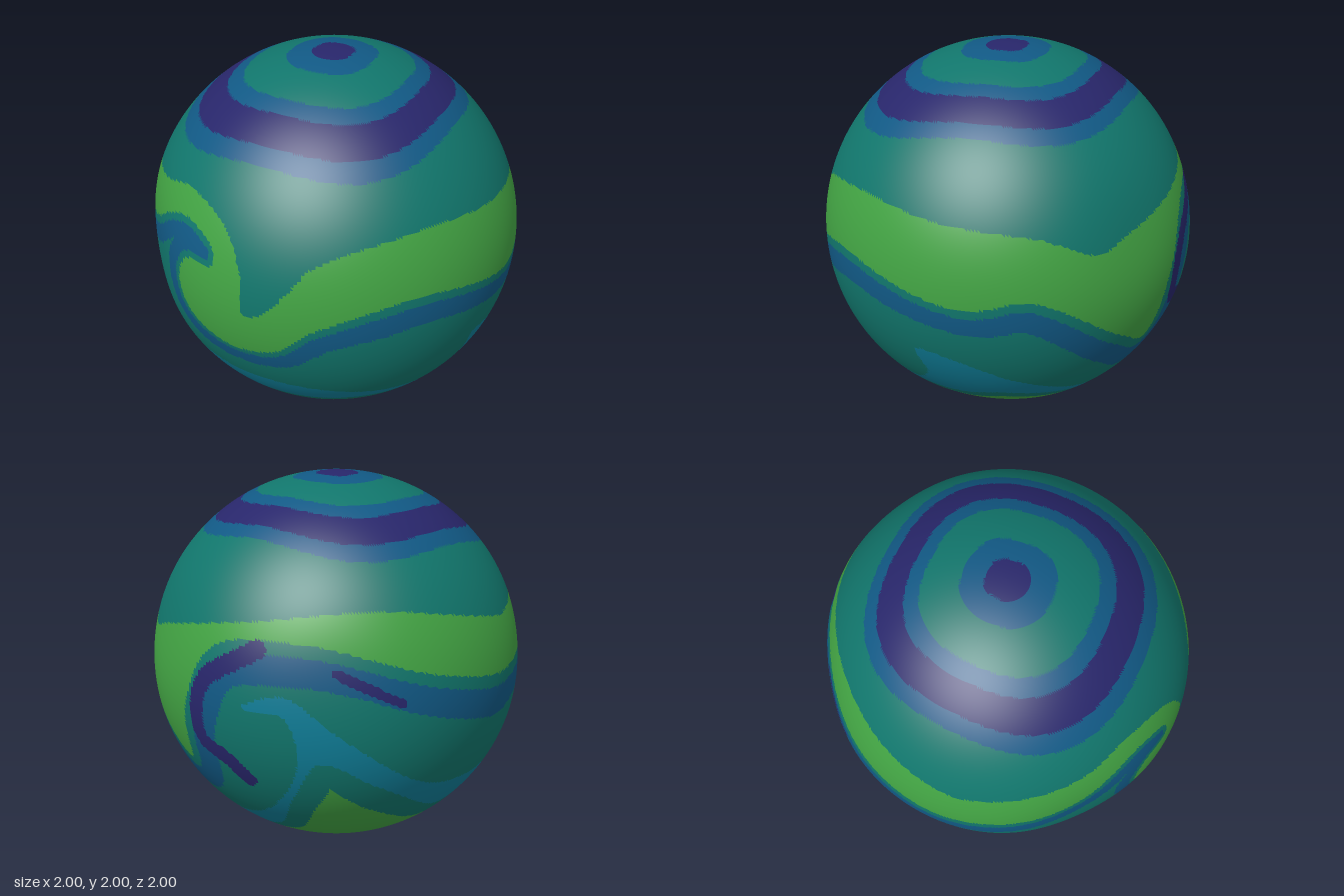
import * as THREE from 'three';

const RAD = Math.PI / 180;

// Unit direction for a longitude and latitude in degrees (longitude 0 is the front)
const direction = (lon, lat) =>
  new THREE.Vector3(Math.sin(lon * RAD) * Math.cos(lat * RAD), Math.sin(lat * RAD), Math.cos(lon * RAD) * Math.cos(lat * RAD));

// Points drawn on a disc facing azimuth az / elevation el, wrapped onto the sphere as (longitude, latitude)
function on(az, el, scale, pts) {
  const c = Math.cos(el * RAD), s = Math.sin(el * RAD), out = [];
  for (let i = 0; i < pts.length; i += 2) {
    const u = pts[i] / scale, v = pts[i + 1] / scale;
    const d = Math.sqrt(Math.max(0, 1 - u * u - v * v));
    const y = v * c + d * s, h = d * c - v * s;
    out.push(new THREE.Vector3(az + Math.atan2(u, h) / RAD, Math.atan2(y, Math.hypot(u, h)) / RAD, 0));
  }
  return out;
}
const front = (...p) => on(0, 0, 100, p);
const side = (...p) => on(90, 0, 100, p);
const backLow = (...p) => on(145, -27, 180, p);
const backHigh = (...p) => on(215, 24, 180, p);

// Smooth line on the sphere, with evenly spaced samples
function line(pts, samples) {
  const path = new THREE.CatmullRomCurve3(pts).getSpacedPoints(samples);
  return { path, dirs: path.map(p => direction(p.x, p.y)) };
}
// Line that runs once round the sphere
const ring = (...pts) => line([...pts, pts[0].clone().setX(pts[0].x + 360)], 400);

// Whether a place lies north of a ring, which may fold back on itself
function northOf({ path }, lon, lat) {
  let north = false;
  const x0 = path[0].x, x = x0 + THREE.MathUtils.euclideanModulo(lon - x0, 360);
  for (const at of [x - 360, x, x + 360]) {
    for (let i = 1; i < path.length; i++) {
      const a = path[i - 1], b = path[i];
      if ((a.x > at) !== (b.x > at) && lat > a.y + (b.y - a.y) * (at - a.x) / (b.x - a.x)) north = !north;
    }
  }
  return north;
}

// Angle in degrees from a direction to the nearest sample of a line
function distance({ dirs }, dir) {
  let best = -1;
  for (const d of dirs) best = Math.max(best, d.dot(dir));
  return Math.acos(Math.min(1, best)) / RAD;
}

// Value given every 45 degrees of longitude from -90
function around(values, lon) {
  const t = THREE.MathUtils.euclideanModulo(lon + 90, 360) / 45, i = Math.floor(t) % 8;
  return THREE.MathUtils.lerp(values[i], values[(i + 1) % 8], t - Math.floor(t));
}
// Stream that follows the south side of a ring, leaving a narrow gap
function follows(edge, widths, dir, lon) {
  const d = distance(edge, dir), w = around(widths, lon);
  return d > 0.3 * w && d < w;
}

// Broad green stream with a hook at the front and a point at the back
const greenTop = ring(
  ...front(-93, 34, -60, 42, -35, 49, -8, 41, 4, 22, 6, -1, 12, -1, 27, 13, 40, 30, 75, 42),
  ...side(0, 39, 45, 34, 71, 23, 81, 28),
  ...backHigh(-85, 10, 35, 17));
const greenBottom = ring(
  ...front(-98, 8, -72, 16, -45, 33, -30, 36, -13, 28, -13, 19, -30, 17, -38, 4, -33, -13, -10, -25, 20, -22, 42, -4, 80, 10),
  ...side(13, -2, 45, 3),
  ...backLow(6, 32, 44, 8, 64, 67, 91, 112),
  ...backHigh(-25, -12, 95, -35, 150, -28));
// Light blue stream with two rising tongues
const cyanTop = ring(
  ...front(-85, -50, 20, -50, 62, -60),
  ...side(-24, -63, -13, -50, -16, -33, 7, -36, 34, -50),
  ...backLow(26, -63, 96, -53, 146, -8, 149, 42),
  ...backHigh(-83, -63, -45, -56, 0, -88, 85, -128));
const cyanBottom = ring(
  ...front(-75, -65, 30, -67),
  ...side(-46, -66.5, 2, -67, 22, -63, 45, -68),
  ...backLow(46, -86, 86, -80),
  ...backHigh(-36, -140, -13, -113, 35, -131, 95, -148));
// Purple curl and streak at the back
const curl = line(backLow(125, 102, 88, 88, 78, 60, 80, 35, 100, 16, 110, -8), 60);
const streak = line(backHigh(2, -37, 58, -60), 30);

// Widths of the streams below the green and light blue ones
const blueWidths = [13, 9, 5.5, 10, 8, 11, 13, 11];
const southWidths = [20, 20, 19.5, 19, 18, 13, 11, 32];

// Polar rings from the centre outwards
const northRings = [[.11, 'purple'], [.23, 'blue'], [.43, 'teal'], [.51, 'blue'], [.65, 'purple'], [.72, 'blue']];
const southRings = [[.11, 'purple'], [.17, 'blue']];

function colorAt(dir) {
  const lon = Math.atan2(dir.x, dir.z) / RAD, lat = Math.asin(dir.y) / RAD;
  const wobble = 1 + .06 * Math.cos((lon + 20) * RAD) - .035 * Math.cos(4 * lon * RAD);
  const radius = Math.hypot(dir.x, dir.z) / (lat > 0 ? wobble : 1);
  const polar = (lat > 0 ? northRings : southRings).find(([r]) => radius < r);
  if (polar) return polar[1];
  if (northOf(greenBottom, lon, lat)) return northOf(greenTop, lon, lat) ? 'teal' : 'green';
  if (distance(curl, dir) < 2.8 || distance(streak, dir) < 1.4) return 'purple';
  if (!northOf(cyanBottom, lon, lat)) return follows(cyanBottom, southWidths, dir, lon) ? 'green' : 'teal';
  if (!northOf(cyanTop, lon, lat)) return 'cyan';
  return follows(greenBottom, blueWidths, dir, lon) ? 'blue' : 'teal';
}

// Shallow dents: direction, depth, spread in radians
const dents = [
  [direction(-42, 0), .03, .31], [direction(90, -66), .014, .25],
  [direction(215, 5), .02, .35], [direction(150, 15), .012, .25],
];

export function createModel() {
  const group = new THREE.Group();
  group.name = 'swirledPlanet';
  const palette = {
    teal: ['tealSurface', 0x11766c], green: ['greenStreams', 0x42a343], blue: ['blueStreams', 0x115985],
    purple: ['purpleStreaks', 0x28266b], cyan: ['lightBlueStreams', 0x0f7d97],
  };

  // Globe with softly dented surface
  const globe = new THREE.SphereGeometry(1, 360, 190);
  const pos = globe.attributes.position, v = new THREE.Vector3();
  for (let i = 0; i < pos.count; i++) {
    v.fromBufferAttribute(pos, i).normalize();
    let r = 1;
    for (const [dir, depth, spread] of dents) r -= depth * Math.exp(-((v.angleTo(dir) / spread) ** 2));
    v.multiplyScalar(r);
    pos.setXYZ(i, v.x, v.y + 1, v.z);
  }
  globe.computeVertexNormals();

  // Sort the faces by colour
  const faces = {}, index = globe.index.array, c = new THREE.Vector3();
  for (const key in palette) faces[key] = [];
  for (let i = 0; i < index.length; i += 3) {
    c.set(0, -3, 0);
    for (let k = 0; k < 3; k++) c.add(v.fromBufferAttribute(pos, index[i + k]));
    faces[colorAt(c.normalize())].push(index[i], index[i + 1], index[i + 2]);
  }

  // One surface per colour, sharing the globe's points and normals
  for (const key in palette) {
    const [name, color] = palette[key];
    const geo = new THREE.BufferGeometry();
    geo.setAttribute('position', pos);
    geo.setAttribute('normal', globe.attributes.normal);
    geo.setIndex(faces[key]);
    const mat = new THREE.MeshStandardMaterial({ color });
    mat.name = key;
    const mesh = new THREE.Mesh(geo, mat);
    mesh.name = name;
    group.add(mesh);
  }
  return group;
}
